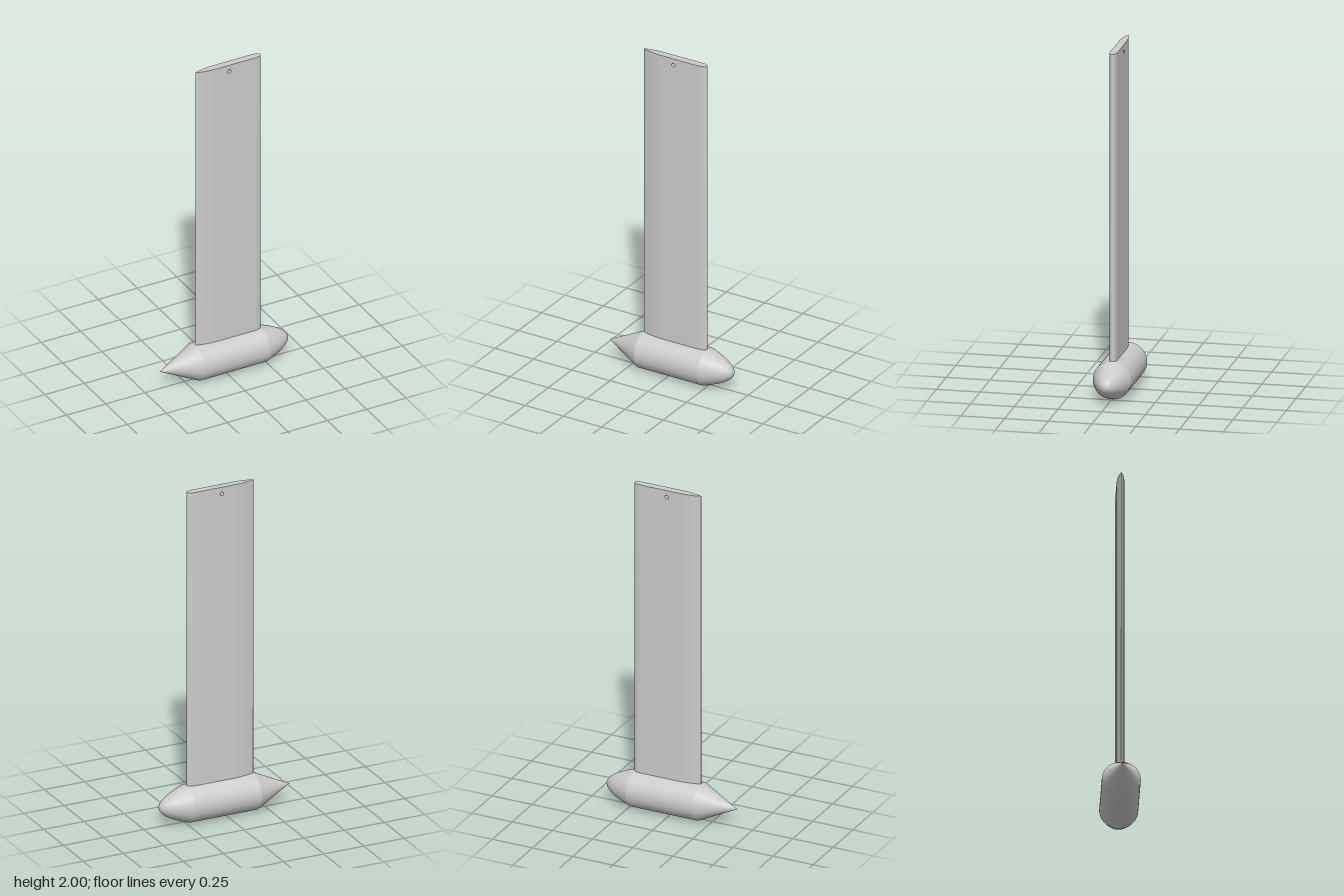
import * as THREE from 'three';

const R = 0.109;                       // pod radius
const TAIL = -0.18, NOSE = 0.235;      // fin edges and pod cylinder ends
const FLAT0 = -0.04, FLAT1 = 0.185;    // flat part of the fin
const H = 0.0215, Y0 = 0.212, Y1 = 2;  // fin half thickness, bottom, top
const HOLE = { x: 0.025, y: 1.96, r: 0.011 };

const solid = new THREE.MeshStandardMaterial({ color: 0xcccccc });
const thin = new THREE.MeshStandardMaterial({ color: 0xcccccc, side: THREE.DoubleSide });

// Rounded fin edge in plan: runs from the flat part (x0) around the edge (x1) and back
function edgePoint(x0, x1, power, u) {
  const c = Math.cos(Math.PI * u);
  const z = Math.sign(x1 - x0) * Math.sign(c) * H * Math.abs(c) ** power;
  return new THREE.Vector2(x0 + (x1 - x0) * Math.sin(Math.PI * u), z);
}

// Curved wall of a fin edge, bent from a plane
function edgeWall(x0, x1, power) {
  const g = new THREE.PlaneGeometry(1, 1, 32, 1);
  const p = g.attributes.position;
  for (let i = 0; i < p.count; i++) {
    const q = edgePoint(x0, x1, power, p.getX(i) + 0.5);
    p.setXYZ(i, q.x, p.getY(i) > 0 ? Y1 : Y0, q.y);
  }
  g.computeVertexNormals();
  return g;
}

export function createModel() {
  const model = new THREE.Group();
  const add = (parent, name, geometry, material = solid) => {
    const mesh = new THREE.Mesh(geometry, material);
    mesh.name = name;
    parent.add(mesh);
    return mesh;
  };

  // Pod: pointed tail cone, straight body and parabolic nose, turned about the x axis
  const pod = new THREE.Group();
  pod.name = 'pod';
  pod.position.y = R;
  pod.rotation.z = -Math.PI / 2;
  model.add(pod);
  const lathe = (pts) => new THREE.LatheGeometry(pts.map(([r, x]) => new THREE.Vector2(r, x)), 64);
  add(pod, 'tailCone', lathe([[0, -0.405], [R, TAIL]]));
  add(pod, 'podBody', lathe([[R, TAIL], [R, NOSE]]));
  const nose = [];
  for (let i = 0; i <= 20; i++) {
    const k = 1 - i / 20;
    nose.push([R * k, NOSE + 0.17 * (1 - k * k)]);
  }
  add(pod, 'noseCone', lathe(nose));

  // Fin: two flat sides with a pin hole, rounded edges and a top cap
  const fin = new THREE.Group();
  fin.name = 'fin';
  model.add(fin);
  const side = new THREE.Shape([[FLAT0, Y0], [FLAT1, Y0], [FLAT1, Y1], [FLAT0, Y1]]
    .map(([x, y]) => new THREE.Vector2(x, y)));
  side.holes.push(new THREE.Path().absarc(HOLE.x, HOLE.y, HOLE.r, 0, Math.PI * 2, true));
  add(fin, 'finFrontSide', new THREE.ShapeGeometry(side, 24), thin).position.z = H;
  add(fin, 'finBackSide', new THREE.ShapeGeometry(side, 24), thin).position.z = -H;
  add(fin, 'leadingEdge', edgeWall(FLAT1, NOSE, 1), thin);
  add(fin, 'trailingEdge', edgeWall(FLAT0, TAIL, 1.5), thin);

  const outline = [];
  for (let i = 0; i <= 32; i++) outline.push(edgePoint(FLAT1, NOSE, 1, i / 32));
  for (let i = 0; i <= 32; i++) outline.push(edgePoint(FLAT0, TAIL, 1.5, i / 32));
  const cap = add(fin, 'finTop', new THREE.ShapeGeometry(new THREE.Shape(outline)), thin);
  cap.rotation.x = -Math.PI / 2;
  cap.position.y = Y1;

  const bore = add(fin, 'pinHole', new THREE.CylinderGeometry(HOLE.r, HOLE.r, 2 * H, 24, 1, true), thin);
  bore.rotation.x = Math.PI / 2;
  bore.position.set(HOLE.x, HOLE.y, 0);

  return model;
}
